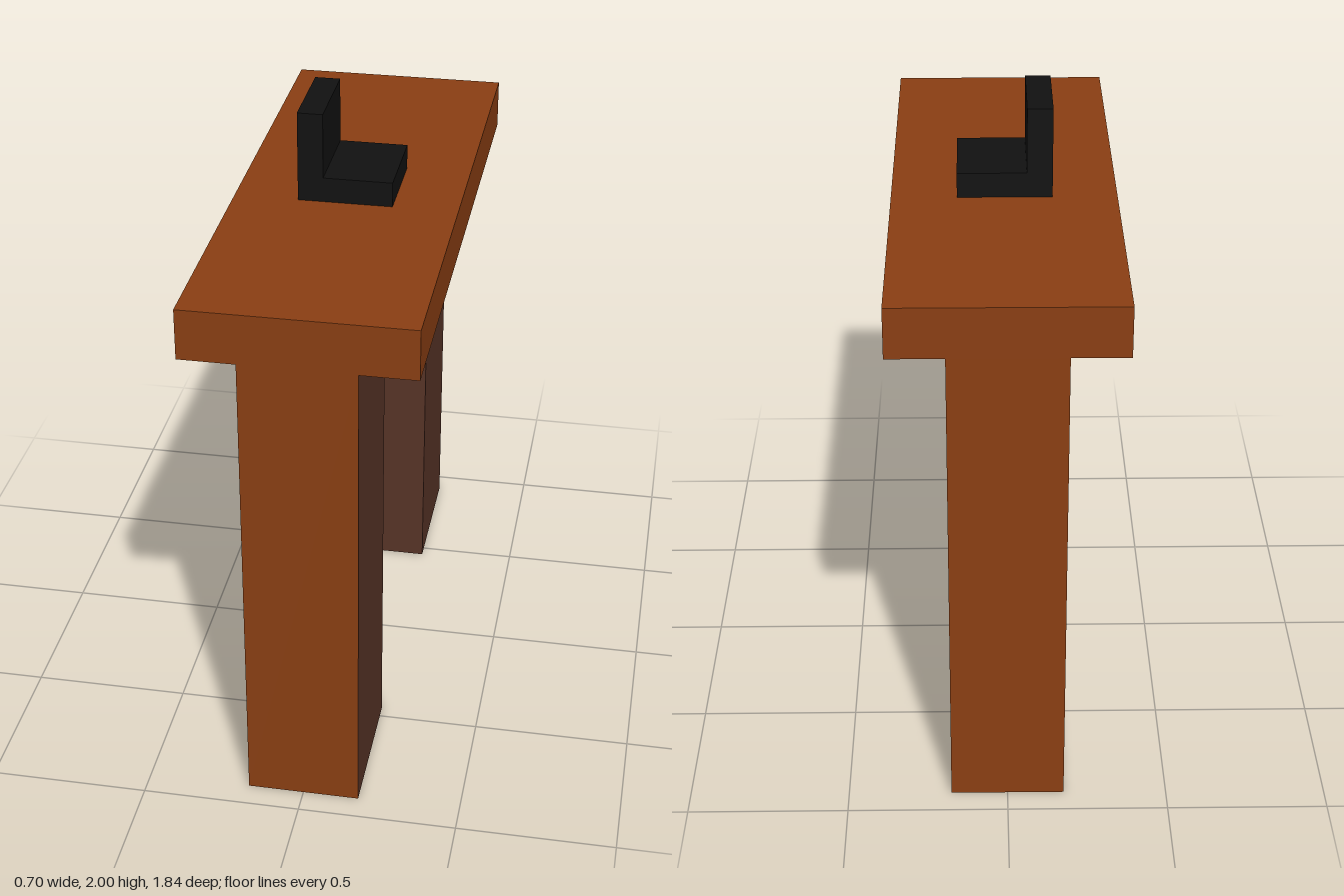
import * as THREE from 'three';

const brown = new THREE.MeshStandardMaterial({ color: 0x8b3f13 });
const dark = new THREE.MeshStandardMaterial({ color: 0x583427 });
const black = new THREE.MeshStandardMaterial({ color: 0x111111 });

// Box given by its lower and upper corners
function box(name, [x0, y0, z0], [x1, y1, z1], material) {
  const mesh = new THREE.Mesh(new THREE.BoxGeometry(x1 - x0, y1 - y0, z1 - z0), material);
  mesh.position.set((x0 + x1) / 2, (y0 + y1) / 2, (z0 + z1) / 2);
  mesh.name = name;
  return mesh;
}

export function createModel() {
  const group = new THREE.Group();
  group.name = 'table';

  // Table top
  group.add(box('tableTop', [-0.352, 1.55, -0.918], [0.352, 1.71, 0.918], brown));

  // Legs: dark on the sides and inner face, brown on the outer end and underneath
  group.add(box('frontLeg', [-0.177, 0, 0.459], [0.177, 1.55, 0.918],
    [dark, dark, brown, brown, brown, dark]));
  group.add(box('backLeg', [-0.177, 0, -0.918], [0.177, 1.55, -0.459],
    [dark, dark, brown, brown, dark, brown]));

  // Small L-shaped stand on the top
  const stand = new THREE.Group();
  stand.name = 'stand';
  stand.add(box('standBase', [-0.07, 1.71, -0.147], [0.147, 1.79, 0.147], black));
  stand.add(box('standBack', [-0.15, 1.71, -0.147], [-0.07, 2, 0.147], black));
  group.add(stand);

  return group;
}
